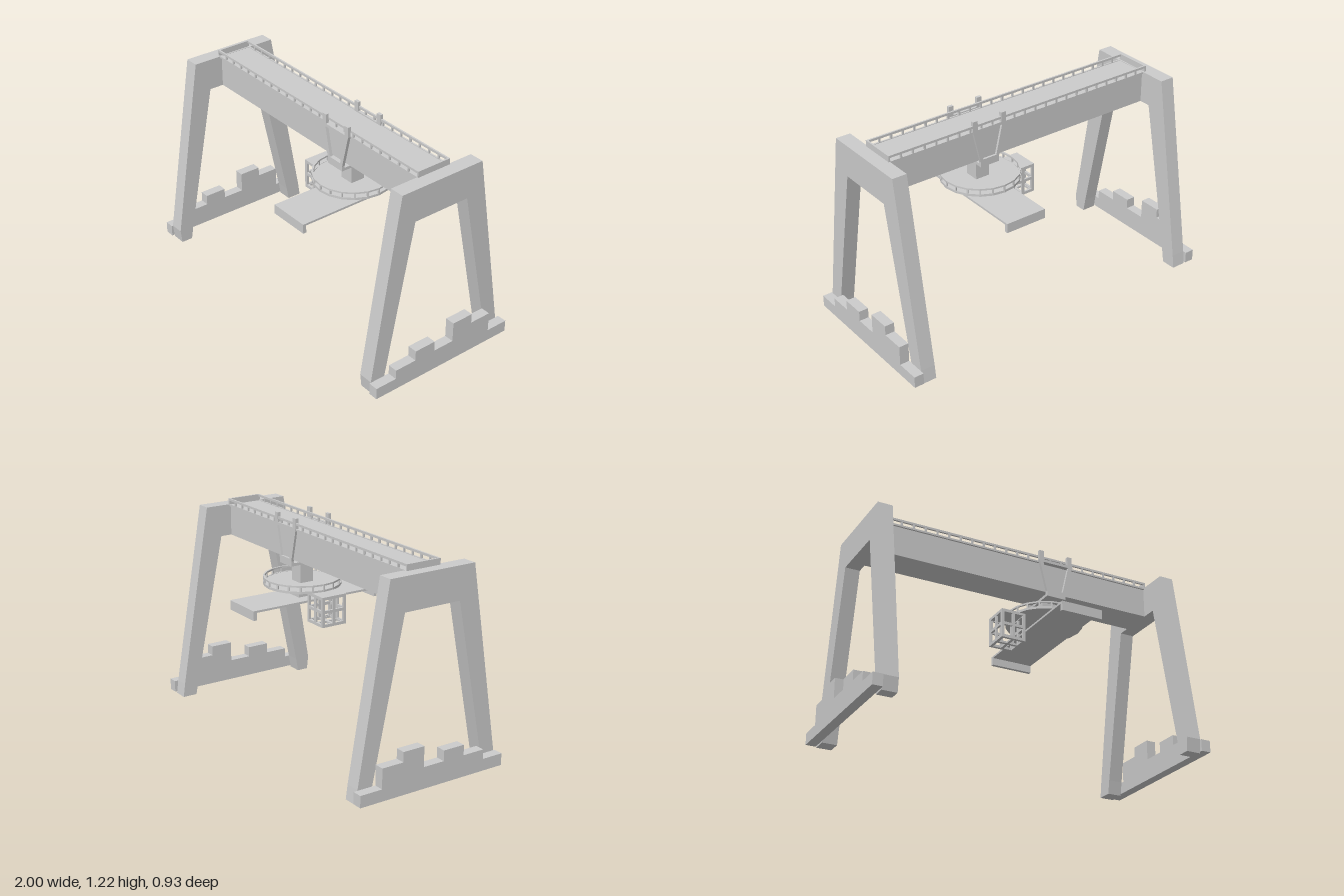
import * as THREE from 'three';

const grey = new THREE.MeshStandardMaterial({ color: 0xcccccc, flatShading: true, side: THREE.DoubleSide });

function add(parent, name, geometry) {
  const mesh = new THREE.Mesh(geometry, grey);
  mesh.name = name;
  parent.add(mesh);
  return mesh;
}

// Box given by its limits on each axis
function box(parent, name, x0, x1, y0, y1, z0, z1) {
  const mesh = add(parent, name, new THREE.BoxGeometry(x1 - x0, y1 - y0, z1 - z0));
  mesh.position.set((x0 + x1) / 2, (y0 + y1) / 2, (z0 + z1) / 2);
  return mesh;
}

function group(parent, name) {
  const g = new THREE.Group();
  g.name = name;
  parent.add(g);
  return g;
}

const shapeOf = (points) => new THREE.Shape(points.map(([a, b]) => new THREE.Vector2(a, b)));
const extrude = (shape, depth) => new THREE.ExtrudeGeometry(shape, { depth, bevelEnabled: false });

// Profile in (z, y), extruded from x0 to x1
function sideProfile(parent, name, points, x0, x1) {
  const geometry = extrude(shapeOf(points.map(([z, y]) => [-z, y])), x1 - x0);
  geometry.rotateY(Math.PI / 2);
  geometry.translate(x0, 0, 0);
  return add(parent, name, geometry);
}

// Square panel with a 2 x 2 grid of openings
function windowPanel(w, h, bar, depth) {
  const shape = shapeOf([[-w / 2, -h / 2], [w / 2, -h / 2], [w / 2, h / 2], [-w / 2, h / 2]]);
  const pw = (w - 3 * bar) / 2, ph = (h - 3 * bar) / 2;
  for (const sx of [-1, 1]) for (const sy of [-1, 1]) {
    const cx = sx * (pw + bar) / 2, cy = sy * (ph + bar) / 2;
    shape.holes.push(shapeOf([
      [cx - pw / 2, cy - ph / 2], [cx - pw / 2, cy + ph / 2],
      [cx + pw / 2, cy + ph / 2], [cx + pw / 2, cy - ph / 2]]));
  }
  return extrude(shape, depth);
}

export function createModel() {
  const crane = new THREE.Group();
  crane.name = 'gantryCrane';

  // Portal legs and stepped drive bogies at both ends
  const portal = [
    [0.447, 0], [0.456, 0.08], [0.28, 1.155], [-0.255, 1.155], [-0.442, 0.08], [-0.453, 0],
    [-0.365, 0], [-0.35, 0.08], [-0.162, 0.968], [0.188, 0.968], [0.364, 0.08], [0.378, 0]];
  const bogie = [
    [0.465, 0.01], [0.465, 0.078], [0.334, 0.078], [0.334, 0.133], [0.2, 0.133], [0.2, 0.193],
    [0.067, 0.193], [0.067, 0.133], [-0.064, 0.133], [-0.064, 0.25], [-0.197, 0.25],
    [-0.197, 0.193], [-0.33, 0.193], [-0.33, 0.078], [-0.465, 0.078], [-0.465, 0.01]];
  for (const [side, s] of [['left', 1], ['right', -1]]) {
    const span = (a, b) => (s > 0 ? [a, b] : [-b, -a]);
    sideProfile(crane, side + 'PortalLegs', portal, ...span(0.857, 0.943));
    sideProfile(crane, side + 'Bogie', bogie, ...span(0.943, 1));
  }

  // Main girder
  box(crane, 'mainGirder', -0.86, 0.86, 0.968, 1.153, -0.093, 0.1);

  // Walkway railing around the girder top
  const railing = group(crane, 'girderRailing');
  const x0 = -0.876, x1 = 0.865, bays = 24;
  for (const z of [-0.098, 0.105]) {
    box(railing, 'topRail', x0, x1, 1.177, 1.19, z - 0.005, z + 0.005);
    box(railing, 'bottomRail', x0, x1, 1.145, 1.156, z - 0.005, z + 0.005);
    for (let i = 0; i <= bays; i++) {
      const x = x0 + 0.005 + (x1 - x0 - 0.01) * i / bays;
      box(railing, 'railPost', x - 0.005, x + 0.005, 1.15, 1.18, z - 0.005, z + 0.005);
    }
  }
  for (const x of [x0, x1 - 0.01]) box(railing, 'endPanel', x, x + 0.01, 1.145, 1.19, -0.098, 0.105);

  // Trolley: tapered hanger frames on both sides of the girder
  const trolley = group(crane, 'trolley');
  const cx = 0.235;
  for (const z of [-0.106, 0.113]) {
    const frame = shapeOf([
      [-0.06, 0.93], [0.06, 0.93], [0.06, 0.96], [0.107, 1.155], [0.107, 1.215], [0.077, 1.215],
      [0.077, 1.16], [-0.077, 1.16], [-0.077, 1.215], [-0.107, 1.215], [-0.107, 1.155], [-0.06, 0.96]]);
    frame.holes.push(shapeOf([[-0.043, 0.973], [-0.082, 1.143], [0.082, 1.143], [0.043, 0.973]]));
    add(trolley, 'hangerFrame', extrude(frame, 0.018)).position.set(cx, 0, z);
  }
  box(trolley, 'trolleyPlate', cx - 0.06, cx + 0.06, 0.93, 0.947, -0.105, 0.118);
  box(trolley, 'slewingPost', 0.19, 0.277, 0.73, 0.935, -0.036, 0.05);
  box(trolley, 'slewingBlock', 0.17, 0.297, 0.738, 0.81, -0.06, 0.065);

  // Round platform with a polygonal railing
  const platform = group(trolley, 'turntable');
  platform.position.set(0.225, 0, 0);
  const R = 0.225, sides = 20;
  add(platform, 'deck', new THREE.CylinderGeometry(R, R, 0.012, sides)).position.y = 0.812;
  const ringBar = (name, y0, y1) => add(platform, name, new THREE.LatheGeometry(
    [[R - 0.01, y0], [R, y0], [R, y1], [R - 0.01, y1], [R - 0.01, y0]].map((p) => new THREE.Vector2(...p)), sides));
  ringBar('railingTop', 0.843, 0.853);
  ringBar('railingBase', 0.806, 0.82);
  for (let i = 0; i < sides; i++) {
    const a = i / sides * Math.PI * 2;
    const post = add(platform, 'railingPost', new THREE.BoxGeometry(0.009, 0.04, 0.009));
    post.position.set(Math.sin(a) * (R - 0.005), 0.83, Math.cos(a) * (R - 0.005));
    post.rotation.y = a;
  }

  // Spreader with turned-down ends
  sideProfile(trolley, 'spreader', [
    [0.433, 0.686], [0.433, 0.742], [-0.406, 0.742], [-0.406, 0.686],
    [-0.386, 0.686], [-0.386, 0.73], [0.413, 0.73], [0.413, 0.686]], 0.095, 0.347);

  // Operator cabin with open windows
  const cabin = group(trolley, 'cabin');
  cabin.position.set(-0.016, 0.721, 0.004);
  const W = 0.15, H = 0.175, D = 0.158, bar = 0.017, t = 0.012;
  for (const turn of [0, Math.PI]) {
    const front = group(cabin, 'cabinWall');
    front.rotation.y = turn;
    add(front, 'windowFrame', windowPanel(W, H, bar, t)).position.z = D / 2 - t;
    const side = group(cabin, 'cabinWall');
    side.rotation.y = turn + Math.PI / 2;
    add(side, 'windowFrame', windowPanel(D, H, bar, t)).position.z = W / 2 - t;
  }
  const floor = add(cabin, 'cabinFloor', windowPanel(W, D, bar, t));
  floor.rotation.x = -Math.PI / 2;
  floor.position.y = -H / 2;
  box(cabin, 'cabinRoof', -W / 2, W / 2, H / 2 - t, H / 2, -D / 2, D / 2);

  return crane;
}
